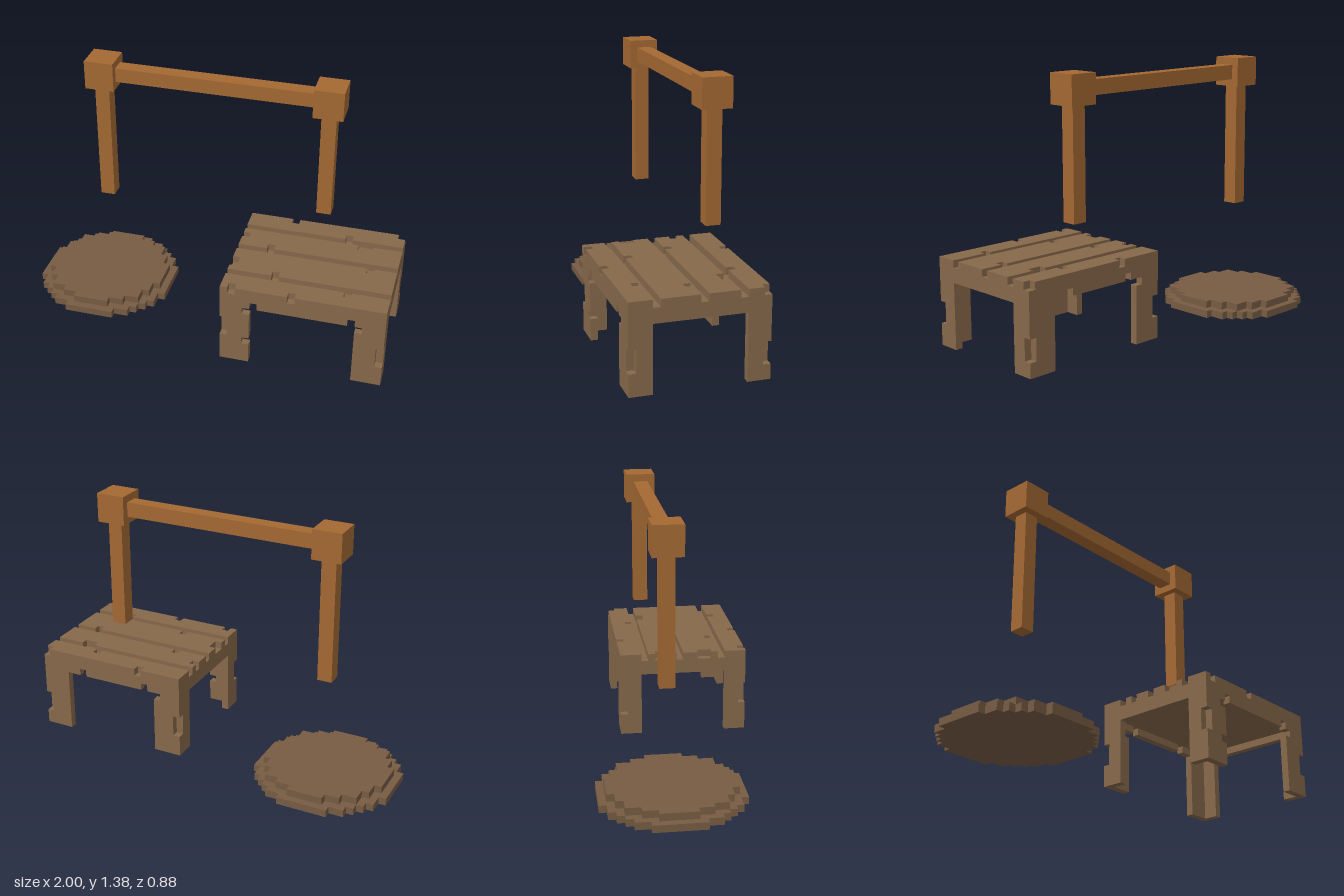
import * as THREE from 'three';

const U = 1 / 26; // size of one cube

const paint = (color) => new THREE.MeshStandardMaterial({ color, flatShading: true });
const WOOD = paint(0x86684a);
const DISC = paint(0x775c43);
const FRAME = paint(0xa36832);

// Skin of every cube for which solid(i, j, k) holds; origin is in cubes
function cubes(name, size, origin, solid, material) {
  const filled = (c) => c.every((n, a) => n >= 0 && n < size[a]) && solid(...c);
  const pos = [], index = [];
  for (let i = 0; i < size[0]; i++) for (let j = 0; j < size[1]; j++) for (let k = 0; k < size[2]; k++) {
    const cell = [i, j, k];
    if (!filled(cell)) continue;
    for (let a = 0; a < 3; a++) for (const s of [-1, 1]) {
      const next = cell.slice();
      next[a] += s;
      if (filled(next)) continue;
      const base = pos.length / 3;
      for (const [u, v] of [[0, 0], [1, 0], [1, 1], [0, 1]]) {
        const p = cell.slice();
        p[a] += s > 0 ? 1 : 0;
        p[(a + 1) % 3] += u;
        p[(a + 2) % 3] += v;
        pos.push(...p.map((n, d) => (n + origin[d]) * U));
      }
      const order = s > 0 ? [0, 1, 2, 0, 2, 3] : [0, 2, 1, 0, 3, 2];
      index.push(...order.map((n) => n + base));
    }
  }
  const geo = new THREE.BufferGeometry();
  geo.setAttribute('position', new THREE.Float32BufferAttribute(pos, 3));
  geo.setIndex(index);
  geo.computeVertexNormals();
  const mesh = new THREE.Mesh(geo, material);
  mesh.name = name;
  return mesh;
}

// Plain box from its low and high corners, in cubes
function bar(name, lo, hi, material) {
  const size = hi.map((n, a) => (n - lo[a]) * U);
  const mesh = new THREE.Mesh(new THREE.BoxGeometry(...size), material);
  mesh.position.set(...hi.map((n, a) => (n + lo[a]) / 2 * U));
  mesh.name = name;
  return mesh;
}

// Hollow plank table with angled legs and chipped edges
function makeTable() {
  const cuts = new Set();
  const cut = (i, j, k, height = 1) => {
    for (let n = 0; n < height; n++) cuts.add([i, j + n, k].join());
  };
  // chips in the plank edges
  const chips = [[0, 5], [6, 0], [4, 7], [0, 11], [0, 12], [6, 13], [14, 2], [16, 4],
    [17, 4], [18, 9], [16, 15], [9, 17], [1, 17], [21, 0]];
  for (const [i, k] of chips) cut(i, 11, k);
  // chips under the apron and on the inner leg edges
  for (const [i, j, k] of [[4, 9, 17], [17, 9, 17], [5, 9, 0], [15, 9, 0],
    [3, 8, 17], [18, 8, 17], [3, 8, 0], [3, 3, 17]]) cut(i, j, k);
  // tall chips on the leg corners
  cut(0, 4, 17, 3);
  cut(21, 3, 17, 3);
  cut(0, 3, 0, 3);
  cut(21, 2, 0, 3);

  const grooves = [3, 8, 14];
  const solid = (i, j, k) => {
    if (cuts.has([i, j, k].join())) return false;
    if (j === 11) return !grooves.includes(k);
    if (j === 10) return true;
    const shell = i === 0 || i === 21 || k === 0 || k === 17;
    if (j === 9) return shell;
    return shell && (i < 4 || i >= 18) && (k < 3 || k >= 15);
  };
  return cubes('table', [22, 12, 18], [4, 0, -6.5], solid, WOOD);
}

// Round stepped base: the upper layer is one cube smaller all round
function makeBase() {
  const solid = (i, j, k) => Math.hypot(i - 9, k - 9) <= 9.5 - j;
  return cubes('roundBase', [19, 2, 19], [-26, 0, -11.5], solid, DISC);
}

// Two posts with cube joints and a cross beam
function makeFrame() {
  const frame = new THREE.Group();
  frame.name = 'postFrame';
  for (const [side, x, foot] of [['right', -16, 15], ['left', 15, 17]]) {
    frame.add(
      bar(side + 'Post', [x - 1, foot, -3.5], [x + 1, 32, -1.5], FRAME),
      bar(side + 'Joint', [x - 2, 32, -4.5], [x + 2, 36, -0.5], FRAME),
    );
  }
  frame.add(bar('crossBeam', [-14, 33, -3.5], [13, 35, -1.5], FRAME));
  return frame;
}

export function createModel() {
  const model = new THREE.Group();
  model.name = 'tableAndFrame';
  model.add(makeTable(), makeBase(), makeFrame());
  return model;
}
